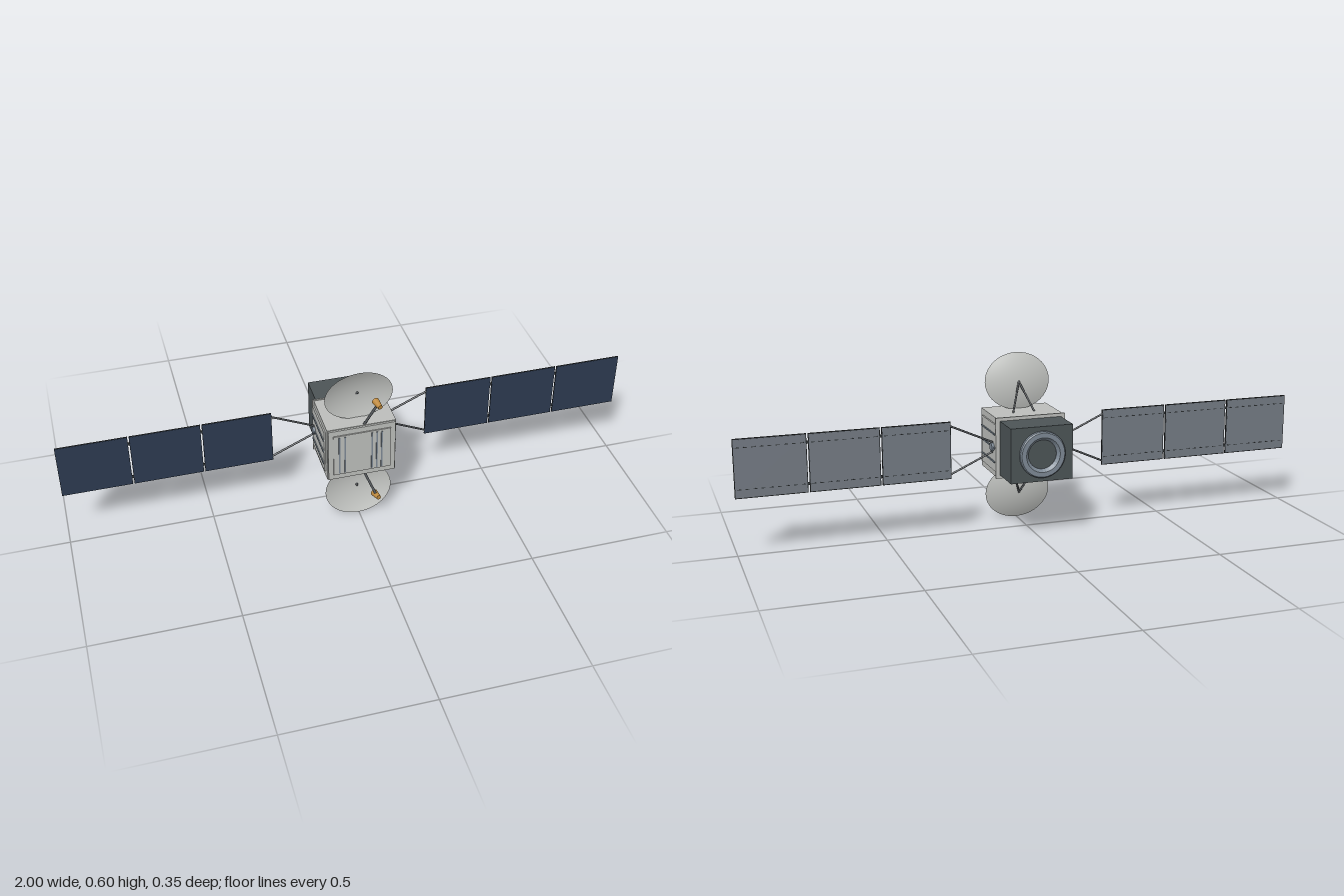
import * as THREE from 'three';

const mat = (name, color, side = THREE.FrontSide) => {
  const m = new THREE.MeshStandardMaterial({ color, side });
  m.name = name;
  return m;
};

export function createModel() {
  const M = {
    hull: mat('light grey hull', 0xbcbebb),
    dish: mat('dish grey', 0xc2c4c1, THREE.DoubleSide),
    dark: mat('dark grey', 0x4c5456),
    strut: mat('strut grey', 0x565a5e),
    cell: mat('navy solar cell', 0x2c3a50),
    back: mat('panel backing grey', 0x747b84),
    ring: mat('blue grey metal', 0x7d8995),
    gold: mat('gold', 0xbf8a3e),
    frame: mat('black frame', 0x2e3234),
  };
  const root = new THREE.Group();
  root.name = 'satellite';
  const CY = 0.3;

  const add = (name, geo, material, x = 0, y = 0, z = 0, parent = root) => {
    const m = new THREE.Mesh(geo, material);
    m.name = name;
    m.position.set(x, y, z);
    parent.add(m);
    return m;
  };
  const box = (name, material, w, h, d, x, y, z, parent) =>
    add(name, new THREE.BoxGeometry(w, h, d), material, x, y, z, parent);
  // Round bar (or cone) between two points
  const rod = (name, material, a, b, r0, r1 = r0, sides = 10, parent = root) => {
    const p = new THREE.Vector3(...a), q = new THREE.Vector3(...b);
    const m = add(name, new THREE.CylinderGeometry(r1, r0, p.distanceTo(q), sides), material, 0, 0, 0, parent);
    m.position.copy(p).add(q).multiplyScalar(0.5);
    m.quaternion.setFromUnitVectors(new THREE.Vector3(0, 1, 0), q.sub(p).normalize());
    return m;
  };

  // Main body: box, slightly narrowed front slab, rear flange
  box('body', M.hull, 0.24, 0.208, 0.178, 0, CY, 0.049);
  box('bodyFront', M.hull, 0.234, 0.203, 0.008, 0, CY, 0.141);
  box('frontPlate', M.hull, 0.2, 0.163, 0.005, 0, CY, 0.1465);
  box('rearFlange', M.hull, 0.25, 0.213, 0.006, 0, CY, -0.04);
  for (const x of [-0.08, -0.06, 0.034, 0.051, 0.068])
    box('frontRib', M.ring, 0.005, 0.15, 0.004, x, CY, 0.15);

  // Raised side panels with horizontal ribs
  for (const s of [-1, 1]) {
    box('sidePanel', M.hull, 0.005, 0.165, 0.154, s * 0.1225, CY, 0.04);
    for (const dy of [-0.05, 0, 0.048])
      box('sideRib', M.ring, 0.004, 0.005, 0.15, s * 0.1265, CY + dy, 0.04);
  }

  // Rear module with round engine opening
  box('rearModule', M.dark, 0.22, 0.19, 0.118, 0, CY, -0.101);
  const ringProfile = [[0.05, 0], [0.08, 0], [0.08, 0.011], [0.076, 0.015], [0.06, 0.015], [0.05, 0.004], [0.05, 0]];
  const ringGeo = new THREE.LatheGeometry(ringProfile.map(p => new THREE.Vector2(...p)), 32).toNonIndexed();
  ringGeo.computeVertexNormals();
  add('engineRing', ringGeo, M.ring, 0, CY, -0.16).rotation.x = -Math.PI / 2;
  add('engineDisc', new THREE.CylinderGeometry(0.051, 0.051, 0.004, 32), M.dark, 0, CY, -0.161).rotation.x = Math.PI / 2;

  // Solar wings
  const PZ = -0.0135, PW = 0.238, GAP = 0.0055;
  for (const s of [-1, 1]) {
    const wing = new THREE.Group();
    wing.name = s > 0 ? 'leftWing' : 'rightWing';
    root.add(wing);
    rod('wingHub', M.ring, [s * 0.118, CY, PZ], [s * 0.134, CY, PZ], 0.015, 0.015, 8, wing);
    box('wingYoke', M.strut, 0.007, 0.04, 0.006, s * 0.13, CY, PZ, wing);
    for (const v of [-1, 1])
      rod('wingStrut', M.strut, [s * 0.13, CY + v * 0.018, PZ], [s * 0.278, CY + v * 0.085, PZ], 0.0035, 0.0035, 8, wing);
    for (let i = 0; i < 3; i++) {
      const x = s * (0.275 + PW / 2 + i * (PW + GAP));
      box('panelFrame', M.frame, PW, 0.2, 0.004, x, CY, PZ, wing);
      box('solarCells', M.cell, PW - 0.002, 0.198, 0.001, x, CY, PZ + 0.0024, wing);
      box('panelBack', M.back, PW - 0.005, 0.194, 0.001, x, CY, PZ - 0.0024, wing);
      // Stitch marks on the back
      for (const v of [-1, 1])
        for (let k = 0; k < 9; k++)
          box('backStitch', M.frame, 0.013, 0.0025, 0.0008, x + (k - 4) * 0.026, CY + v * 0.07, PZ - 0.003, wing);
      // Hinges to the next panel
      if (i < 2) for (const v of [-1, 1])
        box('hinge', M.frame, GAP + 0.004, 0.01, 0.003, x + s * (PW + GAP) / 2, CY + v * 0.07, PZ, wing);
    }
  }

  // Dishes above and below, each with rear struts and an offset feed horn
  const bowl = [];
  for (let i = 0; i <= 8; i++) bowl.push(new THREE.Vector2(i / 8, (i / 8) ** 2 - 1));
  for (const s of [1, -1]) {
    const g = new THREE.Group();
    g.name = s > 0 ? 'upperAntenna' : 'lowerAntenna';
    root.add(g);
    const Y = d => CY + s * d;
    const dish = add('dish', new THREE.LatheGeometry(bowl, 40), M.dish, 0, Y(0.2), 0.101, g);
    dish.scale.set(0.118, 0.02, 0.1);
    dish.rotation.x = Math.PI / 2 + s * 0.113;
    add('dishBoss', new THREE.SphereGeometry(0.004, 10, 8), M.strut, 0, Y(0.2), 0.082, g);
    for (const x of [-0.04, 0.04])
      rod('dishStrut', M.strut, [x, Y(0.1), 0.026], [0, Y(0.2), 0.081], 0.0035, 0.0035, 8, g);
    rod('feedArm', M.strut, [0.01, Y(0.1), 0.131], [0.048, Y(0.192), 0.156], 0.0045, 0.0045, 8, g);
    rod('feedHorn', M.gold, [0.046, Y(0.198), 0.14], [0.053, Y(0.194), 0.175], 0.0125, 0.008, 16, g);
  }
  return root;
}
